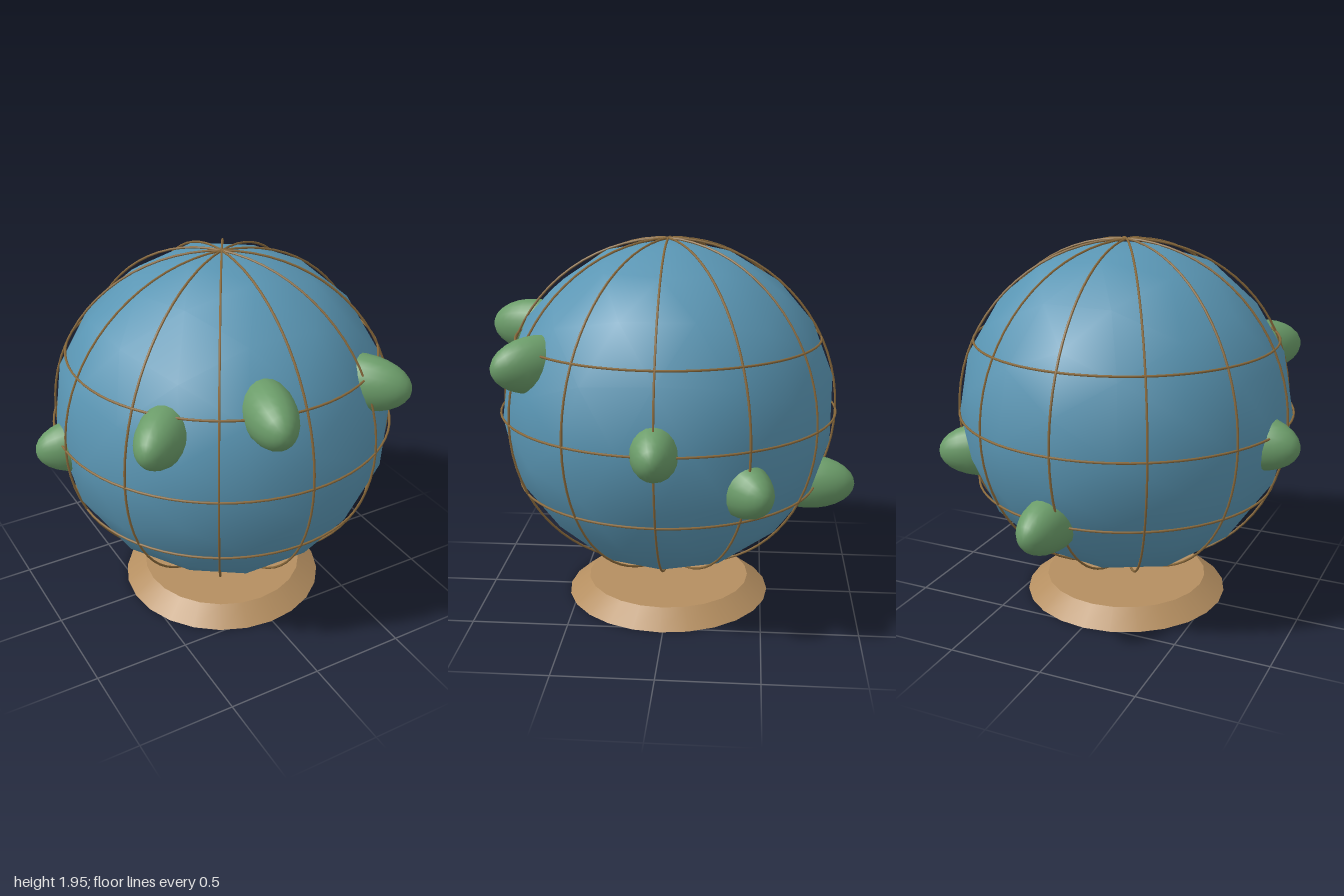
import * as THREE from 'three';

const paint = (color) => {
  const m = new THREE.MeshStandardMaterial();
  m.color.set(color);
  return m;
};

export function createModel() {
  const root = new THREE.Group();
  root.name = 'globe';

  const add = (name, geometry, material, parent) => {
    const mesh = new THREE.Mesh(geometry, material);
    mesh.name = name;
    parent.add(mesh);
    return mesh;
  };

  // Dimensions
  const R = 0.88, wireR = 0.883, tube = 0.006;
  const blue = paint(0x5a96b4), brass = paint(0x8a6a3c);
  const green = paint(0x6b9c69), wood = paint(0xb48e60);

  // Low, flared base below the floating ball
  add('base', new THREE.CylinderGeometry(0.44, 0.55, 0.085, 24), wood, root)
    .position.set(-0.007, 0.0425, 0.013);

  // Everything on the ball shares its centre
  const ball = new THREE.Group();
  ball.name = 'ball';
  ball.position.set(-0.008, 1.06, 0.013);
  root.add(ball);
  add('ocean', new THREE.IcosahedronGeometry(R, 2), blue, ball);

  // Wire meridians, every 30 degrees
  const meridian = new THREE.TorusGeometry(wireR, tube, 6, 72);
  for (let i = 0; i < 6; i++) {
    add('meridian', meridian, brass, ball).rotation.y = (i * Math.PI) / 6;
  }

  // Wire parallels
  for (const y of [-0.383, 0, 0.383]) {
    const r = Math.sqrt(wireR * wireR - y * y);
    const ring = add('parallel', new THREE.TorusGeometry(r, tube, 6, 72), brass, ball);
    ring.rotation.x = Math.PI / 2;
    ring.position.y = y;
  }

  // Land bumps: long ellipsoids pointing outwards; [heading in degrees from +z, height]
  const bump = new THREE.SphereGeometry(1, 20, 14);
  bump.rotateX(Math.PI / 2);
  bump.scale(0.125, 0.145, 0.25);
  const lands = [
    [-13, 0.385], [37, 0.32], [90, 0], [121.3, -0.215],
    [175, -0.39], [-99, -0.06], [-49, 0.27],
  ];
  for (const [heading, y] of lands) {
    const a = THREE.MathUtils.degToRad(heading);
    const land = add('land', bump, green, ball);
    land.position.set(0.75 * Math.sin(a), y, 0.75 * Math.cos(a));
    land.rotation.y = a;
  }

  return root;
}
